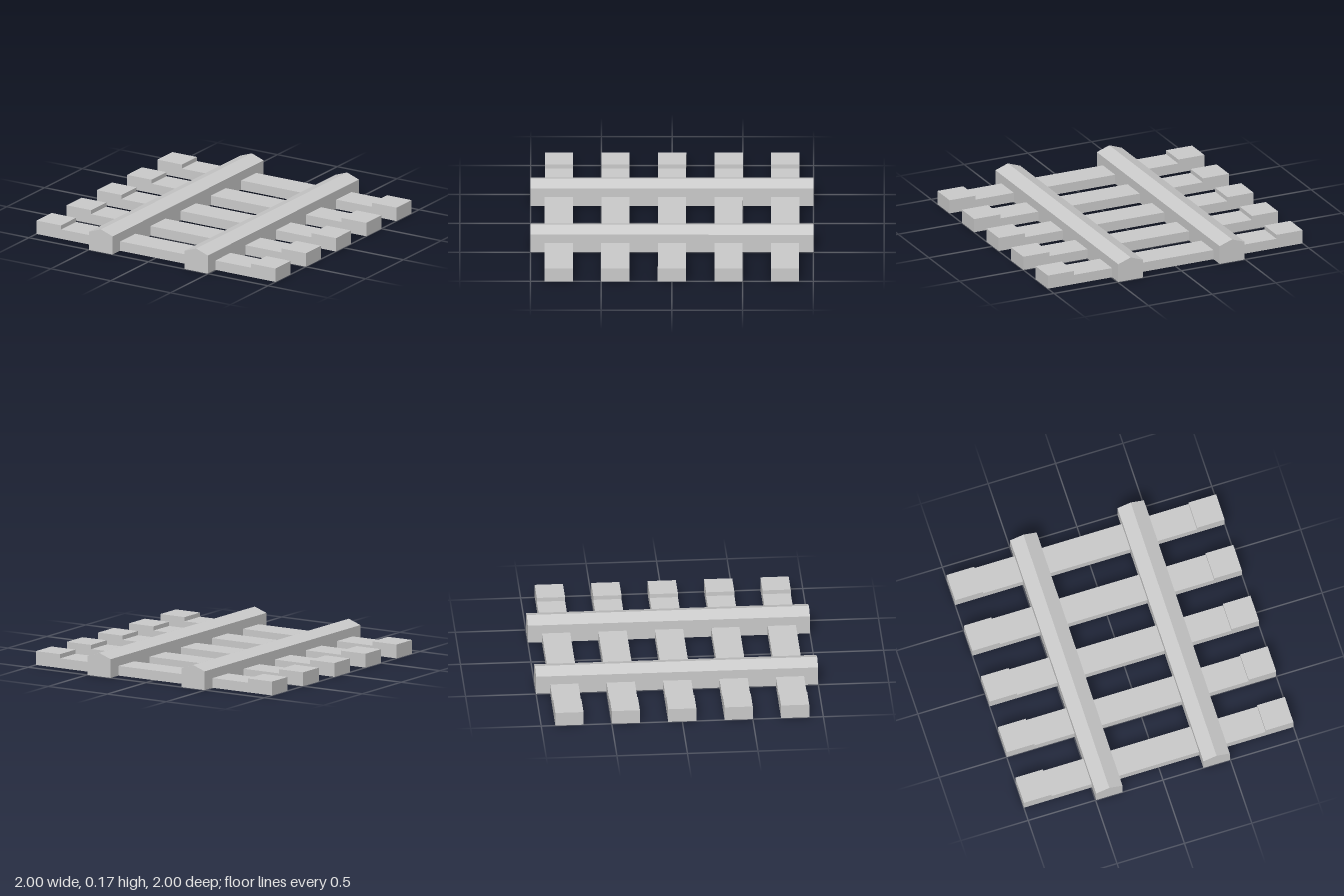
import * as THREE from 'three';

const material = new THREE.MeshStandardMaterial({ color: 0xcccccc, flatShading: true });

// Extrude an x/y outline along z, centred on z = 0
function extrudeOutline(points, depth) {
  const shape = new THREE.Shape(points.map(([x, y]) => new THREE.Vector2(x, y)));
  const geometry = new THREE.ExtrudeGeometry(shape, { depth, bevelEnabled: false });
  return geometry.translate(0, 0, -depth / 2);
}

export function createModel() {
  const track = new THREE.Group();
  track.name = 'railwayTrack';

  // Sleepers: flat bars with raised ends
  const sleeperGeometry = extrudeOutline([
    [-1, 0], [1, 0], [1, 0.1], [0.795, 0.1], [0.795, 0.07],
    [-0.795, 0.07], [-0.795, 0.1], [-1, 0.1],
  ], 0.2);
  for (let i = 0; i < 5; i++) {
    const sleeper = new THREE.Mesh(sleeperGeometry, material);
    sleeper.name = `sleeper${i + 1}`;
    sleeper.position.z = (i - 2) * 0.4;
    track.add(sleeper);
  }

  // Rails: long beams with a ridged top
  const railGeometry = extrudeOutline([
    [-0.098, 0], [0.098, 0], [0.098, 0.135], [0, 0.17], [-0.098, 0.135],
  ], 2);
  for (const side of [-1, 1]) {
    const rail = new THREE.Mesh(railGeometry, material);
    rail.name = side > 0 ? 'leftRail' : 'rightRail';
    rail.position.x = side * 0.398;
    track.add(rail);
  }

  return track;
}
